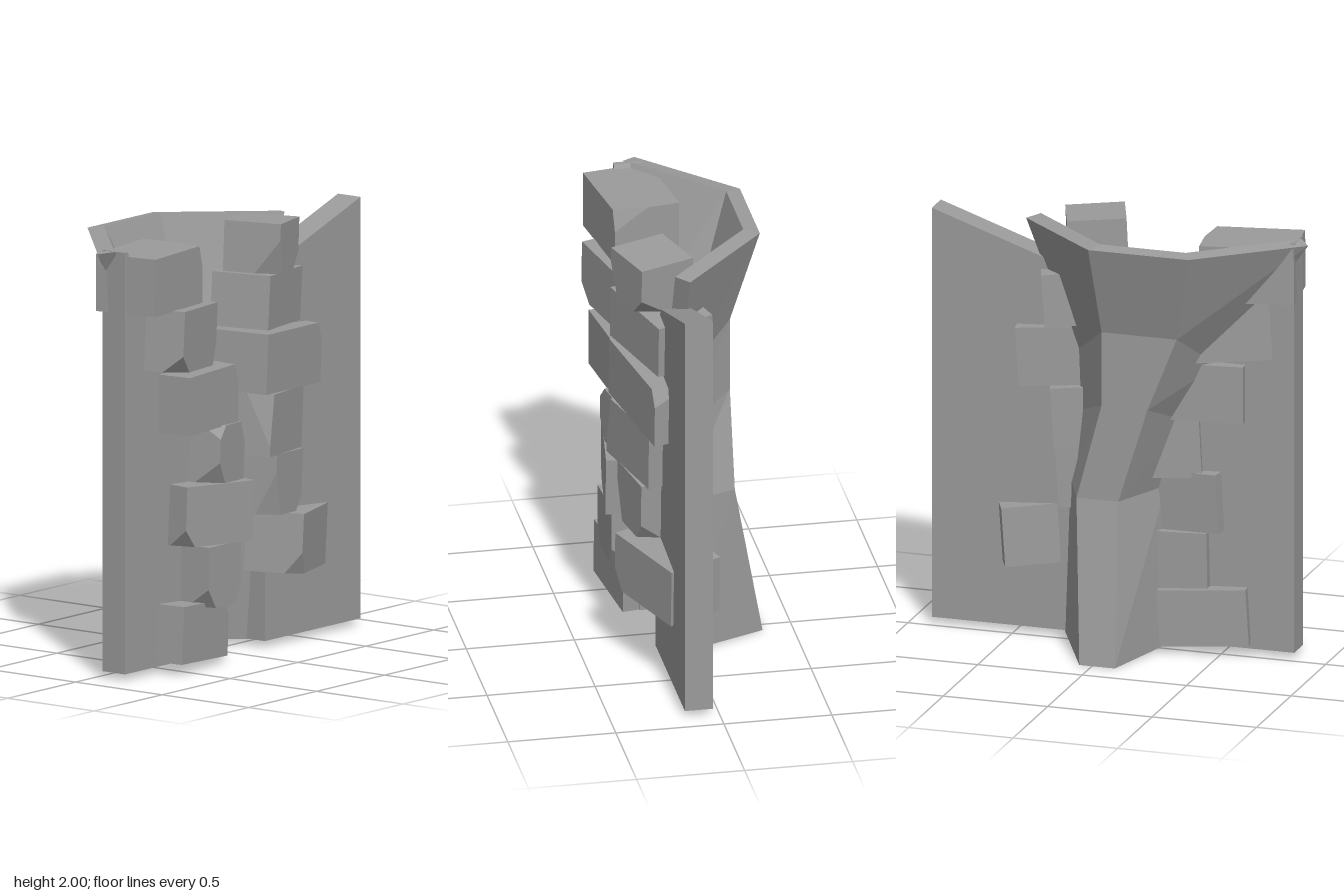
import * as THREE from 'three';
import { ConvexGeometry } from 'three/addons/geometries/ConvexGeometry.js';

// Dark stone
const material = new THREE.MeshStandardMaterial({ color: 0x9b9b9b, flatShading: true });

function addMesh(parent, name, geometry) {
  const mesh = new THREE.Mesh(geometry, material);
  mesh.name = name;
  parent.add(mesh);
  return mesh;
}

// Flat wall slab from its outline
function slab(points) {
  const shape = new THREE.Shape(points.map(([x, y]) => new THREE.Vector2(x, y)));
  const geometry = new THREE.ExtrudeGeometry(shape, { depth: 0.13, bevelEnabled: false });
  return geometry.translate(0, 0, 0.03);
}

// Bent recess behind the opening: [y front, y back, x of the four outer corners, front z, back z, inner x shift]
function recessGeometry() {
  const levels = [
    [0.02, 0.0, -0.25, -0.11, 0.06, 0.26, 0.04, -0.36, 0.02],
    [0.76, 0.75, -0.22, -0.08, 0.12, 0.24, 0.05, -0.22, 0.04],
    [1.08, 1.2, -0.32, -0.22, 0.0, 0.2, 0.05, -0.22, 0.03],
    [1.36, 1.55, -0.47, -0.36, 0.0, 0.21, 0.05, -0.22, 0.03],
    [1.97, 1.98, -0.9, -0.46, 0.02, 0.45, 0.05, -0.355, 0.035],
  ];
  const rings = levels.map(([yf, yb, fl, bl, br, fr, zf, zb, s]) => [
    [fl, yf, zf], [bl, yb, zb], [br, yb, zb], [fr, yf, zf],
    [fr - 0.05, yf + 0.01, zf + 0.06], [br - s, yb + 0.01, zb + 0.07],
    [bl + s, yb + 0.01, zb + 0.07], [fl + 0.05, yf + 0.01, zf + 0.06],
  ]);
  const positions = [];
  const quad = (a, b, c, d) => positions.push(...a, ...b, ...c, ...a, ...c, ...d);
  for (let k = 0; k < rings.length - 1; k++) {
    for (let i = 0; i < 8; i++) {
      const j = (i + 1) % 8;
      quad(rings[k][j], rings[k][i], rings[k + 1][i], rings[k + 1][j]);
    }
  }
  const bottom = rings[0], top = rings[rings.length - 1];
  for (let i = 0; i < 3; i++) {
    quad(bottom[i], bottom[i + 1], bottom[6 - i], bottom[7 - i]);
    quad(top[7 - i], top[6 - i], top[i + 1], top[i]);
  }
  const geometry = new THREE.BufferGeometry();
  geometry.setAttribute('position', new THREE.Float32BufferAttribute(positions, 3));
  geometry.computeVertexNormals();
  return geometry;
}

// Block with some front corners cut away; cuts are [x side, y side, cx, cy, cz]
function stoneGeometry(w, h, d, cuts) {
  const points = [];
  for (const x of [-1, 1]) for (const y of [-1, 1]) for (const z of [-1, 1]) {
    const p = new THREE.Vector3(x * w / 2, y * h / 2, z * d / 2);
    const cut = z > 0 && cuts.find((c) => c[0] === x && c[1] === y);
    if (!cut) { points.push(p); continue; }
    points.push(
      p.clone().add(new THREE.Vector3(-x * cut[2], 0, 0)),
      p.clone().add(new THREE.Vector3(0, -y * cut[3], 0)),
      p.clone().add(new THREE.Vector3(0, 0, -cut[4])),
    );
  }
  return new ConvexGeometry(points);
}

// Stone fitted to the front extents x0..x1, y0..y1
function addStone(parent, name, [x0, x1, y0, y1, z, d, yaw, tilt, cuts]) {
  const spanX = x1 - x0, spanY = y1 - y0;
  const w = (spanX - d * Math.abs(Math.sin(yaw)) - spanY * Math.abs(Math.sin(tilt))) / Math.cos(yaw);
  const h = spanY - w * Math.abs(Math.sin(tilt));
  const mesh = addMesh(parent, name, stoneGeometry(w, h, d, cuts));
  mesh.position.set((x0 + x1) / 2, (y0 + y1) / 2, z);
  mesh.rotation.set(0, yaw, tilt, 'ZYX');
}

export function createModel() {
  const model = new THREE.Group();
  model.name = 'crackedWall';

  // Wall panels on both sides of the opening
  addMesh(model, 'rightWallPanel', slab([
    [-0.84, 0.03], [-0.19, 0.03], [-0.17, 0.8], [-0.3, 1.15], [-0.54, 1.55], [-0.82, 1.98], [-0.84, 1.98],
  ]));
  addMesh(model, 'leftWallPanel', slab([
    [0.19, 0.03], [0.895, 0.03], [0.895, 1.98], [0.31, 1.78], [0.22, 1.55], [0.15, 1.2], [0.19, 0.65],
  ]));
  addMesh(model, 'recess', recessGeometry());

  // Rough stones edging the opening: x0, x1, y0, y1, z, depth, yaw, tilt, cuts
  const rightStones = [
    [-0.85, -0.37, 1.69, 1.96, 0.12, 0.31, 0.15, -0.01, [[1, 1, 0.03, 0.1, 0.16]]],
    [-0.74, -0.25, 1.39, 1.7, 0.13, 0.33, 0.28, -0.06, [[-1, -1, 0.08, 0.08, 0.1], [1, -1, 0.03, 0.1, 0.1]]],
    [-0.61, -0.15, 1.11, 1.38, 0.13, 0.34, 0.12, 0, [[1, 1, 0.03, 0.08, 0.15]]],
    [-0.41, -0.09, 0.82, 1.12, 0.13, 0.33, 0.2, -0.05,
      [[-1, -1, 0.07, 0.12, 0.15], [1, 1, 0.04, 0.1, 0.15], [-1, 1, 0.05, 0.06, 0.1]]],
    [-0.54, -0.06, 0.56, 0.86, 0.15, 0.31, -0.14, -0.05, [[-1, -1, 0.06, 0.08, 0.1]]],
    [-0.44, -0.16, 0.28, 0.57, 0.14, 0.33, 0.06, -0.02,
      [[-1, -1, 0.06, 0.09, 0.12], [1, -1, 0.05, 0.08, 0.1]]],
    [-0.64, -0.17, 0.03, 0.32, 0.11, 0.32, 0.14, -0.06, [[1, 1, 0.04, 0.08, 0.15]]],
  ];
  const leftStones = [
    [-0.03, 0.33, 1.75, 2.0, 0.17, 0.27, 0.35, -0.05,
      [[-1, -1, 0.06, 0.16, 0.12], [1, -1, 0.07, 0.08, 0.12]]],
    [-0.1, 0.43, 1.49, 1.77, 0.13, 0.28, 0.33, -0.07, []],
    [-0.08, 0.53, 1.19, 1.5, 0.15, 0.27, 0.2, -0.06, [[1, 1, 0.04, 0.08, 0.15]]],
    [-0.1, 0.39, 0.91, 1.22, 0.15, 0.29, 0.3, -0.06, [[-1, 1, 0.03, 0.24, 0.12]]],
    [0.0, 0.35, 0.63, 0.93, 0.14, 0.3, 0.22, -0.06,
      [[-1, -1, 0.06, 0.2, 0.1], [1, -1, 0.05, 0.08, 0.1]]],
    [0.1, 0.64, 0.33, 0.64, 0.14, 0.27, 0.42, -0.07, [[-1, -1, 0.06, 0.1, 0.08]]],
  ];
  const stones = new THREE.Group();
  stones.name = 'edgeStones';
  rightStones.forEach((s, i) => addStone(stones, `rightStone${i + 1}`, s));
  leftStones.forEach((s, i) => addStone(stones, `leftStone${i + 1}`, s));
  model.add(stones);

  return model;
}
